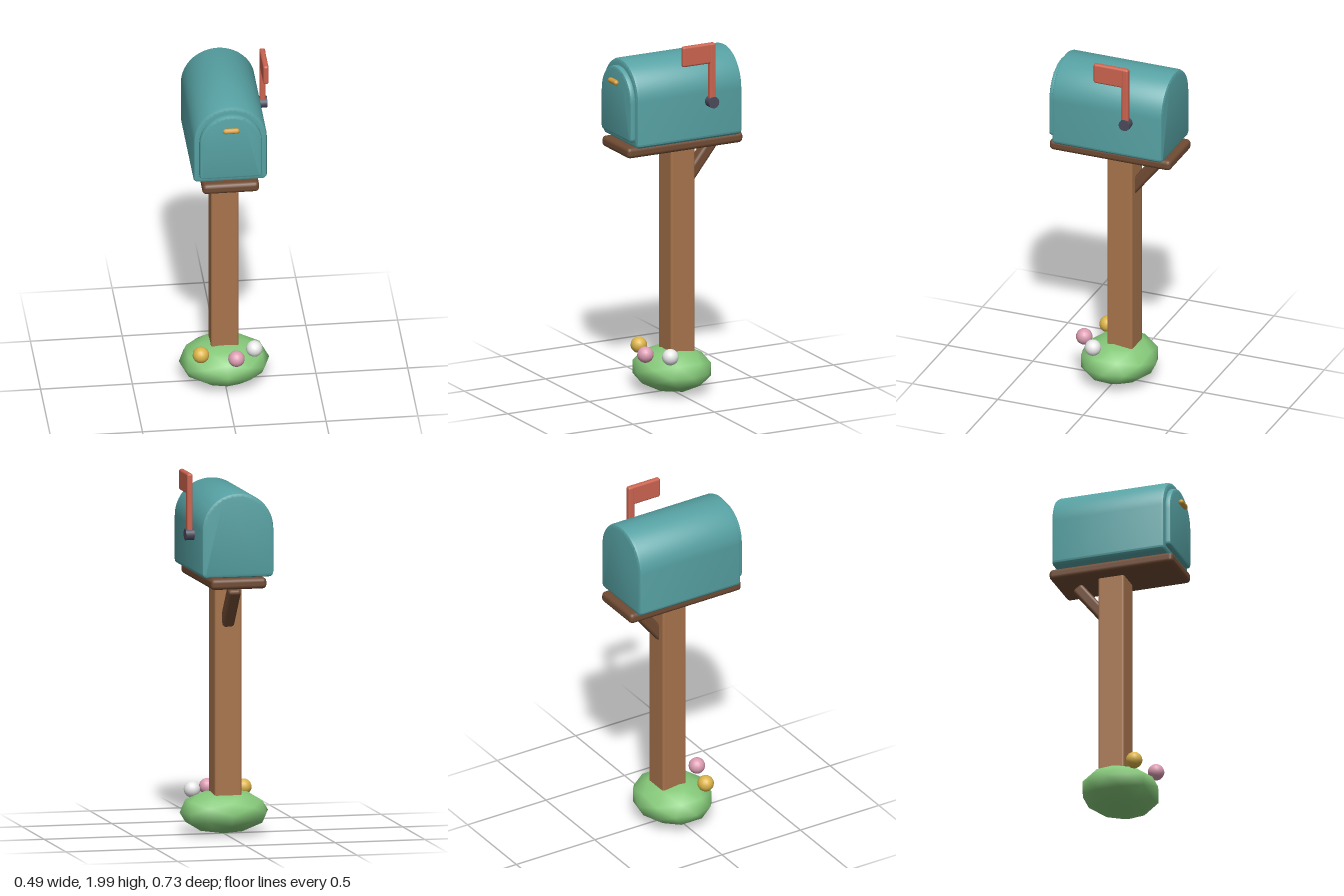
import * as THREE from 'three';
import { mergeVertices, toCreasedNormals } from 'three/addons/utils/BufferGeometryUtils.js';
import { RoundedBoxGeometry } from 'three/addons/geometries/RoundedBoxGeometry.js';

const paint = (name, color) => {
  const m = new THREE.MeshStandardMaterial({ color });
  m.name = name;
  return m;
};

// Arched outline: straight sides, half-round top, slightly rounded bottom corners
function archShape(halfWidth, bottom, top, corner) {
  const s = new THREE.Shape();
  const spring = top - halfWidth;
  s.moveTo(-halfWidth + corner, bottom);
  s.lineTo(halfWidth - corner, bottom);
  s.quadraticCurveTo(halfWidth, bottom, halfWidth, bottom + corner);
  s.lineTo(halfWidth, spring);
  s.absarc(0, spring, halfWidth, 0, Math.PI, false);
  s.lineTo(-halfWidth, bottom + corner);
  s.quadraticCurveTo(-halfWidth, bottom, -halfWidth + corner, bottom);
  return s;
}

// Arched solid with bevelled ends between z0 and z1; sizes are outer sizes
function archSolid(halfWidth, bottom, top, z0, z1, bevel) {
  const shape = archShape(halfWidth - bevel, bottom + bevel, top - bevel, 0.008);
  const g = new THREE.ExtrudeGeometry(shape, {
    depth: z1 - z0 - 2 * bevel,
    bevelEnabled: true,
    bevelSize: bevel,
    bevelThickness: bevel,
    bevelSegments: 2,
    curveSegments: 20,
  });
  g.translate(0, 0, z0 + bevel);
  return toCreasedNormals(g, 0.7);
}

export function createModel() {
  const model = new THREE.Group();
  model.name = 'mailbox';

  const teal = paint('teal', 0x57a2a4);
  const wood = paint('wood', 0xa8744c);
  const darkWood = paint('darkWood', 0x704b33);
  const leaf = paint('leafGreen', 0x86c97a);
  const red = paint('flagRed', 0xcc6450);
  const iron = paint('iron', 0x4a4a5c);
  const brass = paint('brass', 0xd6a040);
  const yellow = paint('yellow', 0xdcb44a);
  const pink = paint('pink', 0xdc9db2);
  const white = paint('white', 0xececec);

  const add = (name, geometry, material, x = 0, y = 0, z = 0) => {
    const mesh = new THREE.Mesh(geometry, material);
    mesh.name = name;
    mesh.position.set(x, y, z);
    model.add(mesh);
    return mesh;
  };

  // Box, door and door handle
  add('boxBody', archSolid(0.2, 1.447, 1.91, -0.335, 0.31, 0.018), teal);
  add('door', archSolid(0.17, 1.48, 1.872, 0.295, 0.338, 0.014), teal);
  const handle = add('doorHandle', new THREE.CapsuleGeometry(0.015, 0.062, 3, 10), brass, 0, 1.79, 0.352);
  handle.rotation.z = Math.PI / 2;

  // Shelf, post and slanted brace
  add('shelf', new RoundedBoxGeometry(0.31, 0.06, 0.71, 2, 0.022), darkWood, 0, 1.416, -0.011);
  add('post', new RoundedBoxGeometry(0.15, 1.29, 0.148, 2, 0.012), wood, 0, 0.755, -0.037);
  const brace = add('brace', new RoundedBoxGeometry(0.07, 0.3, 0.066, 2, 0.018), darkWood, 0, 1.26, -0.157);
  brace.rotation.x = -0.67;

  // Signal flag on its pivot
  const pivot = add('flagPivot', new THREE.CylinderGeometry(0.032, 0.032, 0.055, 12), iron, 0.22, 1.665, -0.135);
  pivot.rotation.z = Math.PI / 2;
  add('flagArm', new RoundedBoxGeometry(0.032, 0.33, 0.038, 2, 0.01), red, 0.223, 1.832, -0.134);
  add('flagPlate', new RoundedBoxGeometry(0.03, 0.115, 0.2, 2, 0.012), red, 0.223, 1.942, -0.05);

  // Low round bush with smooth shading
  let bush = new THREE.IcosahedronGeometry(1, 1);
  bush.deleteAttribute('normal');
  bush.deleteAttribute('uv');
  bush = mergeVertices(bush, 1e-3);
  bush.scale(0.246, 0.122, 0.215);
  bush.computeVertexNormals();
  add('bush', bush, leaf, 0, 0.127, -0.007);

  // Blossoms
  const blossom = new THREE.SphereGeometry(0.045, 16, 12);
  [
    [yellow, -0.14, 0.12],
    [pink, 0.047, 0.18],
    [white, 0.155, 0.085],
  ].forEach(([material, x, z], i) => add('blossom' + (i + 1), blossom, material, x, 0.238, z));

  return model;
}
